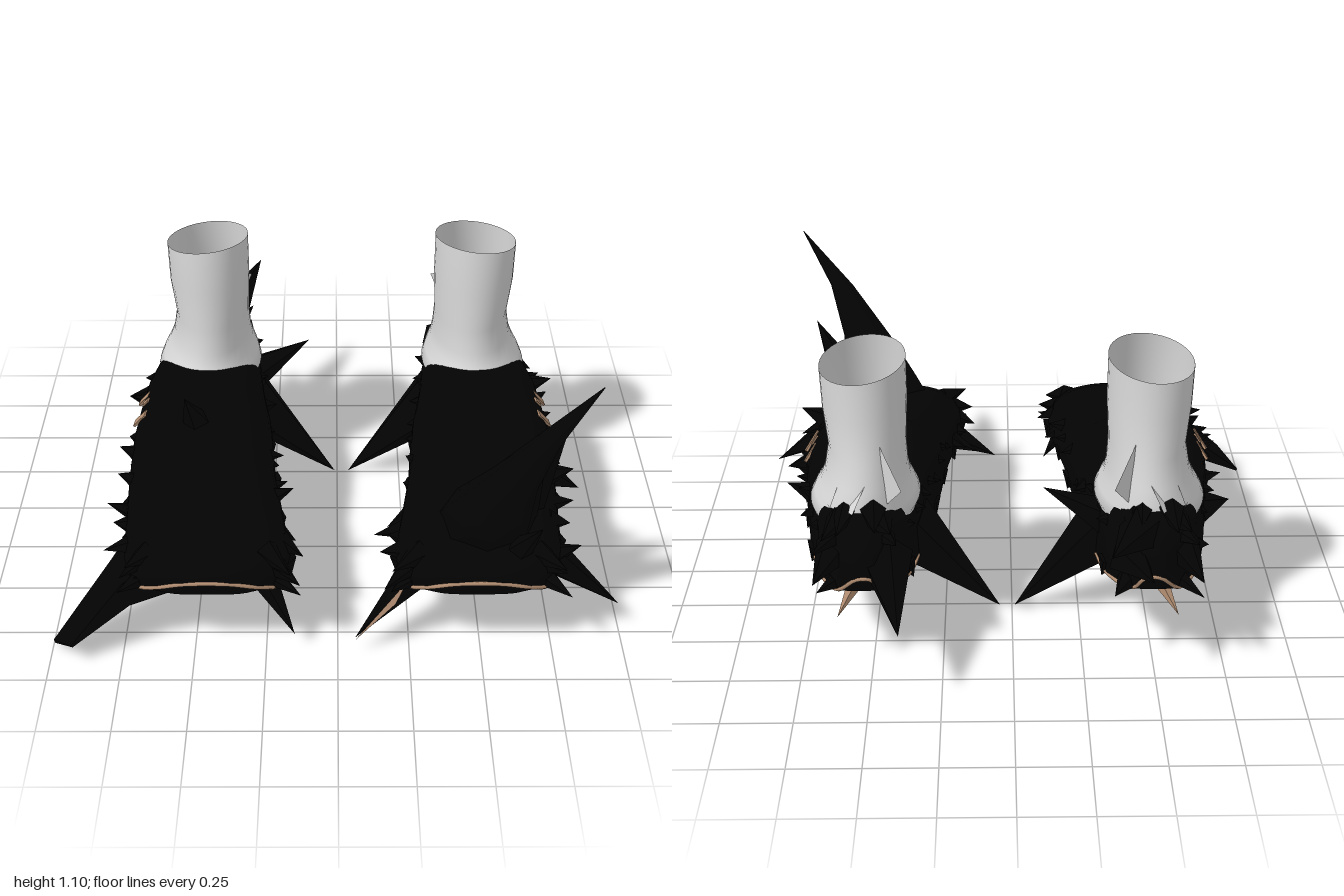
import * as THREE from 'three';

const V = (x, y, z) => new THREE.Vector3(x, y, z);
const mat = (name, color) =>
  Object.assign(new THREE.MeshStandardMaterial({ color, side: THREE.DoubleSide }), { name });

// Shoe cross-sections, heel to toe: z, inner x, outer x, bottom, widest height, top, upper roundness, welt angle
const SECTIONS = [
  [-0.68, 0.48, 0.56, 0.38, 0.42, 0.52, 0.60, -1.20], [-0.62, 0.44, 0.63, 0.30, 0.33, 0.59, 0.45, -0.70],
  [-0.50, 0.37, 0.69, 0.28, 0.31, 0.60, 0.40, -0.35], [-0.30, 0.33, 0.74, 0.27, 0.31, 0.565, 0.40, -0.35],
  [-0.10, 0.31, 0.77, 0.26, 0.31, 0.60, 0.45, -0.50], [0.05, 0.28, 0.79, 0.25, 0.31, 0.63, 0.65, -0.95],
  [0.15, 0.27, 0.80, 0.24, 0.31, 0.61, 0.68, -1.00], [0.30, 0.26, 0.80, 0.23, 0.31, 0.55, 0.72, -1.00],
  [0.50, 0.23, 0.79, 0.23, 0.31, 0.53, 0.75, -1.00], [0.70, 0.20, 0.78, 0.23, 0.31, 0.49, 0.80, -0.95],
  [0.80, 0.22, 0.75, 0.24, 0.32, 0.45, 0.80, -0.60], [0.87, 0.30, 0.66, 0.28, 0.35, 0.42, 0.80, -0.35],
  [0.90, 0.40, 0.56, 0.34, 0.37, 0.39, 0.80, -0.60],
];

// Sock rings: height, centre x, centre z, half width, half depth
const SOCK = [
  [0.46, 0.53, -0.30, 0.17, 0.26], [0.53, 0.53, -0.30, 0.198, 0.295],
  [0.57, 0.528, -0.312, 0.182, 0.28], [0.61, 0.525, -0.325, 0.162, 0.26],
  [0.66, 0.52, -0.325, 0.148, 0.243], [0.75, 0.515, -0.315, 0.138, 0.215],
  [0.90, 0.52, -0.302, 0.15, 0.194], [1.05, 0.523, -0.305, 0.152, 0.175],
];

// Surface from a list of closed rings, optionally capped
function loft(rings, capped = true) {
  const n = rings[0].length, pos = [], idx = [];
  rings.forEach(r => r.forEach(p => pos.push(p.x, p.y, p.z)));
  for (let i = 0; i < rings.length - 1; i++) for (let j = 0; j < n; j++) {
    const a = i * n + j, b = i * n + (j + 1) % n;
    idx.push(a, b, b + n, a, b + n, a + n);
  }
  const last = (rings.length - 1) * n;
  if (capped) for (let j = 1; j < n - 1; j++) idx.push(0, j + 1, j, last, last + j, last + j + 1);
  const g = new THREE.BufferGeometry();
  g.setAttribute('position', new THREE.Float32BufferAttribute(pos, 3));
  g.setIndex(idx);
  g.computeVertexNormals();
  return g;
}

// Point on the shoe surface: angle 0 is the outer edge, PI the inner edge
function surface(z, t) {
  let i = 0;
  while (i < SECTIONS.length - 2 && z > SECTIONS[i + 1][0]) i++;
  const A = SECTIONS[i], B = SECTIONS[i + 1], k = (z - A[0]) / (B[0] - A[0]);
  const [, xi, xo, bot, mid, top, round] = A.map((a, j) => a + (B[j] - a) * k);
  const s = Math.sin(t), e = s > 0 ? round : 0.55;
  const soft = v => Math.sign(v) * Math.abs(v) ** e;
  return V((xi + xo) / 2 + (xo - xi) / 2 * soft(Math.cos(t)),
    mid + (s > 0 ? top - mid : mid - bot) * soft(s), z);
}

export function createModel() {
  const model = new THREE.Group();
  const black = mat('black', 0x030303), tan = mat('tan', 0xb08c70), grey = mat('light grey', 0xd6d6d6);

  const add = (group, name, geometry, material) => {
    const m = new THREE.Mesh(geometry, material);
    m.name = name;
    group.add(m);
    return m;
  };
  const spike = (group, base, tip, r, material = black, name = 'spike') => {
    const d = tip.clone().sub(base);
    const g = new THREE.ConeGeometry(r, d.length(), 5).toNonIndexed();
    g.computeVertexNormals();
    const m = add(group, name, g, material);
    m.position.copy(base).addScaledVector(d, 0.5);
    m.quaternion.setFromUnitVectors(V(0, 1, 0), d.normalize());
  };
  const fin = (group, name, points, material) => {
    const g = new THREE.BufferGeometry().setFromPoints(points);
    g.computeVertexNormals();
    add(group, name, g, material);
  };

  for (const s of [1, -1]) {
    const shoe = new THREE.Group();
    shoe.name = s > 0 ? 'leftShoe' : 'rightShoe';
    model.add(shoe);
    const side = p => V(s > 0 ? p.x : 0.035 - p.x, p.y, p.z);
    const ring = pts => { const r = pts.map(side); return s > 0 ? r : r.reverse(); };
    const around = (n, f) => ring(Array.from({ length: n }, (_, j) => f(j / n * Math.PI * 2)));

    // Shoe body
    add(shoe, 'shoeBody', loft(SECTIONS.map(c => around(40, t => surface(c[0], t)))), black);

    // Open sock with a sloping rim
    add(shoe, 'sock', loft(SOCK.map(([y, cx, cz, rx, rz]) => around(36, t => {
      const tilt = Math.max(0, y - 0.75) / 0.3;
      return V(cx + rx * Math.cos(t),
        y + tilt * (-0.015 * Math.cos(t) - 0.02 * Math.sin(t)), cz - rz * Math.sin(t));
    })), false), grey);

    // Flat frayed points at the back of the sock
    for (const pts of [
      [[0.47, 0.82, -0.48], [0.44, 0.60, -0.54], [0.38, 0.71, -0.65]],
      [[0.50, 0.70, -0.53], [0.60, 0.58, -0.53], [0.55, 0.62, -0.65]],
      [[0.60, 0.68, -0.48], [0.66, 0.57, -0.46], [0.63, 0.62, -0.60]],
    ]) fin(shoe, 'sockPoint', ring(pts.map(p => V(...p))), grey);

    // Welt tucked under the edge of the sole, rising over the toe
    const path = [
      ...SECTIONS.map(c => surface(c[0], Math.PI - c[7])),
      ...SECTIONS.slice().reverse().map(c => surface(c[0], c[7])),
    ].map(side);
    add(shoe, 'welt', new THREE.TubeGeometry(new THREE.CatmullRomCurve3(path, true), 160, 0.007, 6, true), tan);

    // Tan scraps on the outer flank
    for (const [z, t, w, h] of [[0.13, 0.6, 0.03, 0.09], [0.07, 0.72, 0.02, 0.04], [0.01, 0.58, 0.025, 0.08]]) {
      const p = surface(z, t), m = add(shoe, 'flankPatch', new THREE.BoxGeometry(w, h, 0.009), tan);
      m.position.copy(side(p));
      m.lookAt(side(p.clone().add(V(1, 0.7, 0))));
      m.rotateZ(s * 0.4);
    }

    // Small thorns along both flanks, toe corners and heel
    let seed = s > 0 ? 7 : 19;
    const rnd = () => (seed = (seed * 16807) % 2147483647) / 2147483647;
    rnd(); rnd();
    const thorn = (z, t, dir, len) => {
      const p = surface(z, t);
      dir.normalize();
      spike(shoe, side(p.clone().addScaledVector(dir, -0.04)), side(p.addScaledVector(dir, len)), 0.035 + rnd() * 0.015);
    };
    for (let i = 0; i < 11; i++) {
      const z = -0.48 + i * 0.118 + rnd() * 0.04;
      const reach = 0.02 + 0.04 * rnd() + (z > 0.4 ? 0.02 : 0);
      thorn(z, 0.4 * rnd(), V(1, rnd() - 0.5, rnd() - 0.5), reach);
      thorn(z, Math.PI - 0.4 * rnd(), V(-1, rnd() - 0.6, rnd() - 0.5), reach * 0.8);
      thorn(z, i % 2 ? -0.3 : Math.PI + 0.3, V(i % 2 ? 0.4 : -0.4, -1, 0), 0.015 + 0.02 * rnd());
    }
    for (const t of [-0.2, 0.2, 0.5, Math.PI - 0.5, Math.PI - 0.1, Math.PI + 0.2])
      thorn(0.81, t, V(Math.cos(t), -0.5 * rnd(), 0.9), 0.06 + 0.05 * rnd());
    for (let i = 0; i < 8; i++) {
      const t = Math.PI * i / 7;
      thorn(-0.61, t, V(Math.cos(t) * 0.5, rnd() * 0.3 - 0.1, -1), 0.08 + 0.07 * rnd());
    }

    // Long inner spike, heel spike and tan heel tip
    spike(shoe, side(V(0.40, 0.37, -0.27)), side(V(0.045, 0.012, -0.26)), 0.13, black, 'innerSpike');
    spike(shoe, side(V(0.62, 0.45, -0.55)), side(V(0.685, 0.42, -0.78)), 0.075, black, 'heelSpike');
    spike(shoe, side(V(0.56, 0.30, -0.56)), side(V(0.62, 0.21, -0.65)), 0.03, tan, 'heelTip');
  }

  const [left, right] = model.children;

  // Left shoe: tall curved horn and its neighbours
  const horn = [[0.50, 0.42, 0.64, 0.19], [0.54, 0.54, 0.70, 0.15], [0.59, 0.69, 0.77, 0.095],
    [0.69, 0.89, 0.83, 0.045], [0.84, 1.11, 0.87, 0.002]];
  add(left, 'tallHorn', loft(horn.map(([x, y, z, r]) => Array.from({ length: 8 }, (_, j) => {
    const t = j / 8 * Math.PI * 2;
    return V(x + r * Math.cos(t), y, z - r * Math.sin(t));
  }))), black);
  for (const [b, t, r] of [
    [[0.60, 0.42, 0.58], [0.78, 0.81, 0.64], 0.12],
    [[0.70, 0.33, 0.67], [0.99, 0.13, 0.735], 0.08],
    [[0.74, 0.37, 0.26], [0.89, 0.32, 0.30], 0.07],
    [[0.70, 0.45, 0.42], [0.84, 0.51, 0.45], 0.07],
    [[0.60, 0.38, 0.78], [0.68, 0.57, 0.89], 0.06],
    [[0.45, 0.42, -0.58], [0.39, 0.31, -0.93], 0.10],
    [[0.33, 0.32, 0.69], [0.06, 0.08, 0.86], 0.08],
    [[0.30, 0.34, 0.55], [0.13, 0.27, 0.52], 0.06],
    [[0.70, 0.45, -0.2], [0.83, 0.50, -0.18], 0.06],
  ]) spike(left, V(...b), V(...t), r);

  // Tan face on the inner toe spike
  fin(left, 'tanSpikeFace', [V(0.24, 0.285, 0.805), V(0.06, 0.075, 0.868), V(0.20, 0.205, 0.83)], tan);

  // Right shoe: broad side blade and long spikes
  const blade = [
    [[-0.68, 0.37, 0.46], [-0.60, 0.37, 0.82], [-0.58, 0.25, 0.82], [-0.64, 0.25, 0.50]],
    [[-0.80, 0.25, 0.63], [-0.74, 0.29, 0.82], [-0.72, 0.20, 0.83], [-0.78, 0.17, 0.66]],
    [[-1, 0.03, 0.81], [-0.92, 0.095, 0.92], [-0.915, 0.085, 0.915], [-0.995, 0.02, 0.815]],
  ];
  const bladeGeo = loft(blade.map(r => r.map(p => V(...p)).reverse())).toNonIndexed();
  bladeGeo.computeVertexNormals();
  add(right, 'sideBlade', bladeGeo, black);
  for (const [b, t, r] of [
    [[-0.68, 0.32, 0.19], [-0.77, 0.065, 0.19], 0.08],
    [[-0.46, 0.52, -0.57], [-0.32, 0.62, -0.95], 0.09],
    [[-0.40, 0.44, -0.62], [-0.48, 0.42, -0.78], 0.08],
    [[-0.36, 0.42, -0.33], [-0.11, 0.57, -0.36], 0.08],
    [[-0.50, 0.50, 0.20], [-0.55, 0.69, 0.27], 0.08],
    [[-0.28, 0.33, 0.76], [-0.15, 0.08, 0.84], 0.06],
    [[-0.70, 0.40, -0.2], [-0.81, 0.42, -0.18], 0.07],
  ]) spike(right, V(...b), V(...t), r);

  return model;
}
